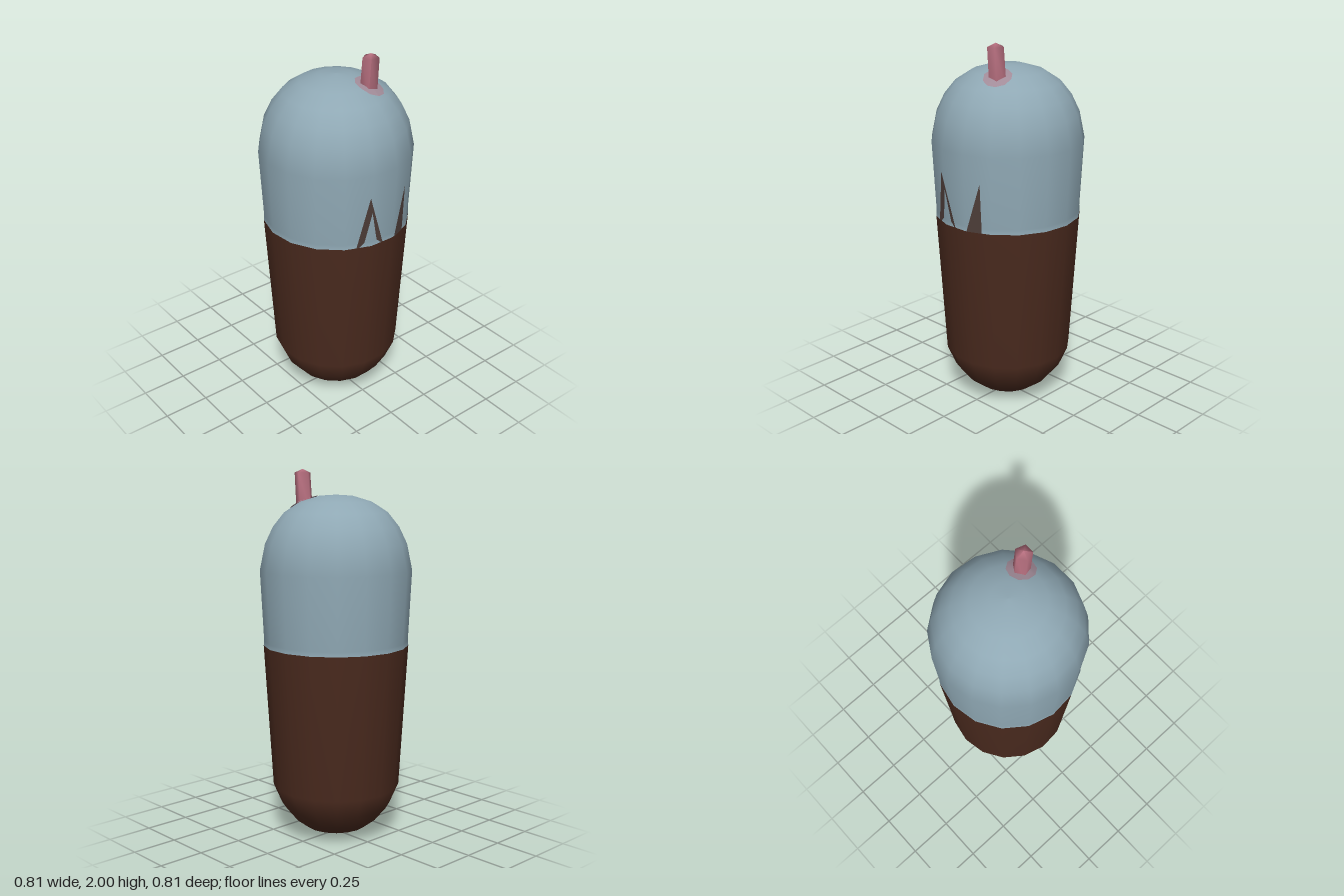
import * as THREE from 'three';

const SIDES = 17;
const BODY = [[0, 0], [0.09, 0.015], [0.17, 0.045], [0.235, 0.095], [0.30, 0.175], [0.347, 0.285], [0.392, 1.065]];
const CAP = [[0.392, 1.065], [0.389, 1.09], [0.407, 1.47], [0.378, 1.61], [0.335, 1.7], [0.275, 1.775], [0.19, 1.83], [0.09, 1.86], [0, 1.866]];

function add(group, name, geometry, color) {
  const material = new THREE.MeshStandardMaterial({ color, side: THREE.DoubleSide });
  const mesh = new THREE.Mesh(geometry, material);
  mesh.name = name;
  group.add(mesh);
}

// Faceted surface of revolution with one flat side facing +x
function revolve(points, sides = SIDES) {
  const profile = points.map(([r, y]) => new THREE.Vector2(r, y));
  return new THREE.LatheGeometry(profile, sides, Math.PI / 2 - Math.PI / sides);
}

// Height of the dome at a distance from the axis
function domeHeight(r) {
  for (let i = CAP.length - 1; i > 2; i--) {
    const [r0, y0] = CAP[i], [r1, y1] = CAP[i - 1];
    if (r <= r1) return y0 + (y1 - y0) * (r - r0) / (r1 - r0);
  }
  return CAP[2][1];
}

// Flat triangular streak lying just off the +x side of the cap
function streak(zBack, zFront, zTip, yTip) {
  const onSide = (y, z) => {
    const apothem = (0.389 + 0.018 * (y - 1.09) / 0.38) * Math.cos(Math.PI / SIDES);
    const a = Math.max(0, Math.abs(z) - 0.076);
    return [apothem + 0.006 - a * 0.39, y, z];
  };
  const g = new THREE.BufferGeometry();
  const corners = [onSide(1.065, zFront), onSide(1.065, zBack), onSide(yTip, zTip)];
  g.setAttribute('position', new THREE.Float32BufferAttribute(corners.flat(), 3));
  g.computeVertexNormals();
  return g;
}

export function createModel() {
  const model = new THREE.Group();
  model.name = 'capsuleFruit';

  // Body halves
  add(model, 'lowerBody', revolve(BODY), 0x4a2a1e);
  add(model, 'upperCap', revolve(CAP), 0x8fa8b4);

  // Streaks rising from the seam
  add(model, 'frontStreak', streak(0, 0.15, 0.09, 1.35), 0x4f3f3a);
  add(model, 'backStreak', streak(-0.16, -0.08, -0.16, 1.33), 0x4f3f3a);

  // Tinted patch following the dome around the stem
  const patch = new THREE.RingGeometry(0.02, 0.075, 10, 2);
  patch.rotateX(-Math.PI / 2);
  const p = patch.attributes.position;
  for (let i = 0; i < p.count; i++) {
    const x = p.getX(i) + 0.16, z = p.getZ(i) - 0.085;
    p.setXYZ(i, x, domeHeight(Math.hypot(x, z)) + 0.005, z);
  }
  patch.computeVertexNormals();
  add(model, 'stemPatch', patch, 0xa18b98);

  // Leaning five-sided stem with a blunt tip
  const stem = revolve([[0.046, 1.77], [0.044, 1.98], [0, 2]], 5);
  const s = stem.attributes.position;
  for (let i = 0; i < s.count; i++) {
    s.setX(i, s.getX(i) + 0.153 + (s.getY(i) - 1.77) * 0.08);
    s.setZ(i, s.getZ(i) - 0.083);
  }
  stem.computeVertexNormals();
  add(model, 'stem', stem, 0xb87080);

  return model;
}
